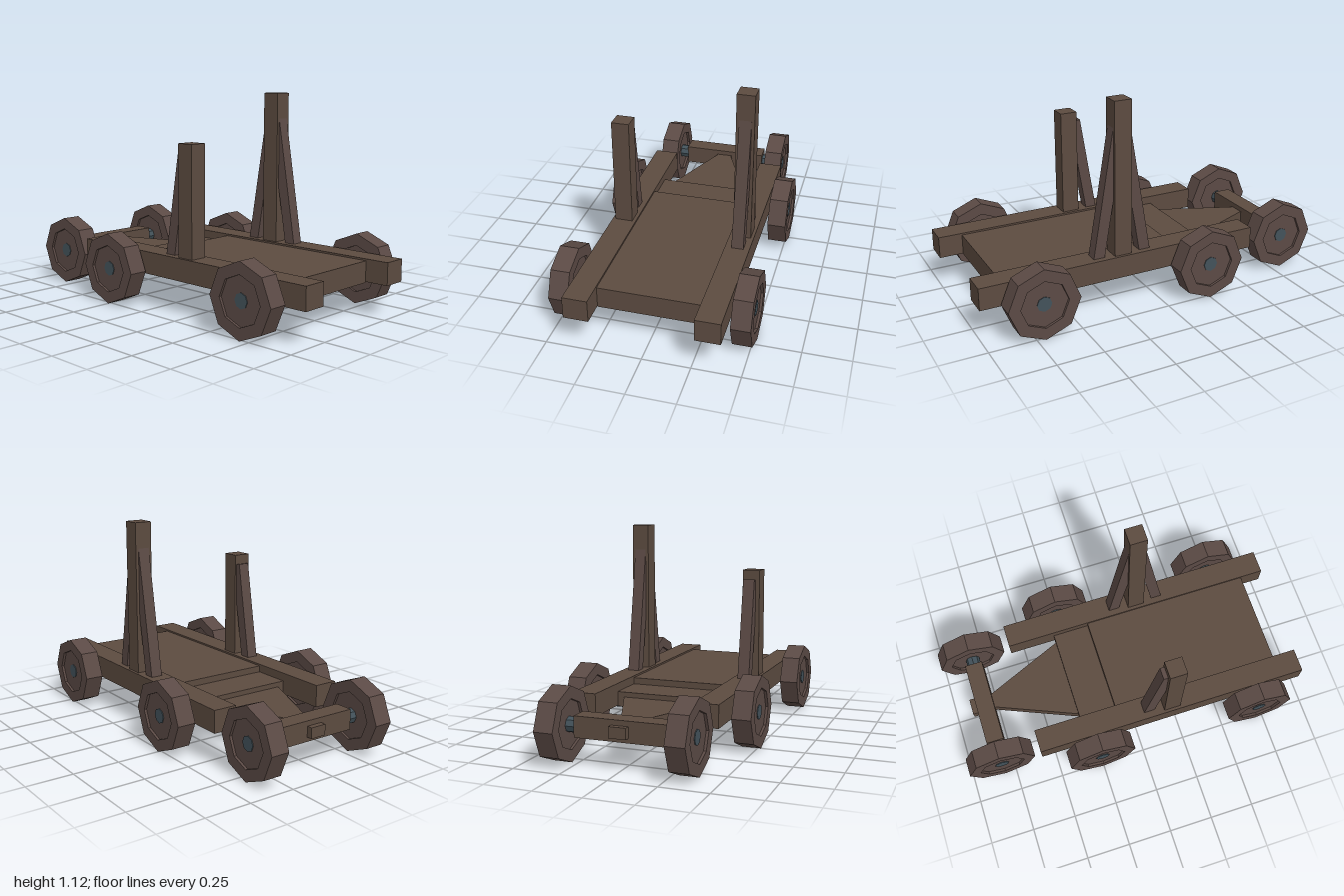
import * as THREE from 'three';

const material = (color) => new THREE.MeshStandardMaterial({ color, flatShading: true });

export function createModel() {
  const model = new THREE.Group();
  const wood = material(0x5c4b40);
  const darkWood = material(0x5b4a45);
  const iron = material(0x43525a);

  const add = (name, geometry, mat) => {
    const mesh = new THREE.Mesh(geometry, mat);
    mesh.name = name;
    model.add(mesh);
    return mesh;
  };
  // Box given by its extents on each axis
  const box = (name, [x0, x1], [y0, y1], [z0, z1], mat = wood) =>
    add(name, new THREE.BoxGeometry(x1 - x0, y1 - y0, z1 - z0), mat)
      .position.set((x0 + x1) / 2, (y0 + y1) / 2, (z0 + z1) / 2);
  const shape = (points) => new THREE.Shape(points.map(([x, y]) => new THREE.Vector2(x, y)));
  const extrude = (points, depth) =>
    new THREE.ExtrudeGeometry(shape(points), { depth, bevelEnabled: false });

  // Side beams
  box('leftBeam', [-0.58, 1], [0.175, 0.295], [0.266, 0.397]);
  box('rightBeam', [-0.58, 1], [0.175, 0.295], [-0.397, -0.266]);

  // Bed with a lower step at the tongue end
  box('bed', [-0.1, 0.87], [0.17, 0.285], [-0.266, 0.266]);
  box('bedStep', [-0.31, -0.1], [0.17, 0.25], [-0.266, 0.266]);

  // Tapered tongue ending in a stub beyond the crossbar
  const tongue = extrude([
    [-0.31, -0.23], [-0.31, 0.23], [-0.75, 0.045],
    [-0.89, 0.045], [-0.89, -0.045], [-0.75, -0.045],
  ], 0.057);
  tongue.rotateX(Math.PI / 2);
  add('tongue', tongue, wood).position.y = 0.223;
  box('crossbar', [-0.86, -0.76], [0.142, 0.25], [-0.243, 0.243]);

  // Octagonal wheels with recessed faces, and their axles
  const R = 0.192, axleY = 0.192, half = 0.051, inset = 0.037;
  const wheel = new THREE.LatheGeometry([
    [0, -inset], [0.128, -inset], [0.128, -half], [R, -half],
    [R, half], [0.128, half], [0.128, inset], [0, inset],
  ].map(([x, y]) => new THREE.Vector2(x, y)), 8);
  wheel.rotateX(Math.PI / 2);
  for (const [name, x, z] of [['tongue', -0.81, 0.332], ['middle', -0.25, 0.467], ['end', 0.705, 0.467]]) {
    for (const side of [-1, 1]) {
      add(name + (side > 0 ? 'LeftWheel' : 'RightWheel'), wheel, darkWood)
        .position.set(x, axleY, side * z);
    }
    const axle = new THREE.CylinderGeometry(0.04, 0.04, 2 * (z + inset + 0.004), 8);
    axle.rotateX(Math.PI / 2);
    add(name + 'Axle', axle, iron).position.set(x, axleY, 0);
  }

  // Upright posts
  box('shortPost', [0.16, 0.256], [0.18, 0.885], [0.285, 0.381]);
  box('tallPost', [0.16, 0.256], [0.18, 1.125], [-0.381, -0.285]);

  // Leaning braces: side -1 leans from low x, +1 from high x
  const brace = (name, side, top, z) => {
    const cx = 0.208, slope = 0.166, base = 0.28;
    const out = (y) => 0.165 - (y - base) * slope;
    const points = [
      [out(base), base], [out(top), top],
      [out(top) - 0.062, top - 0.01], [out(base) - 0.062, base],
    ].map(([x, y]) => [cx + side * x, y]);
    add(name, extrude(points, 0.064), darkWood).position.z = z - 0.032;
  };
  brace('shortPostBrace', -1, 0.835, 0.327);
  brace('tallPostBraceA', -1, 0.985, -0.333);
  brace('tallPostBraceB', 1, 0.985, -0.333);

  return model;
}
